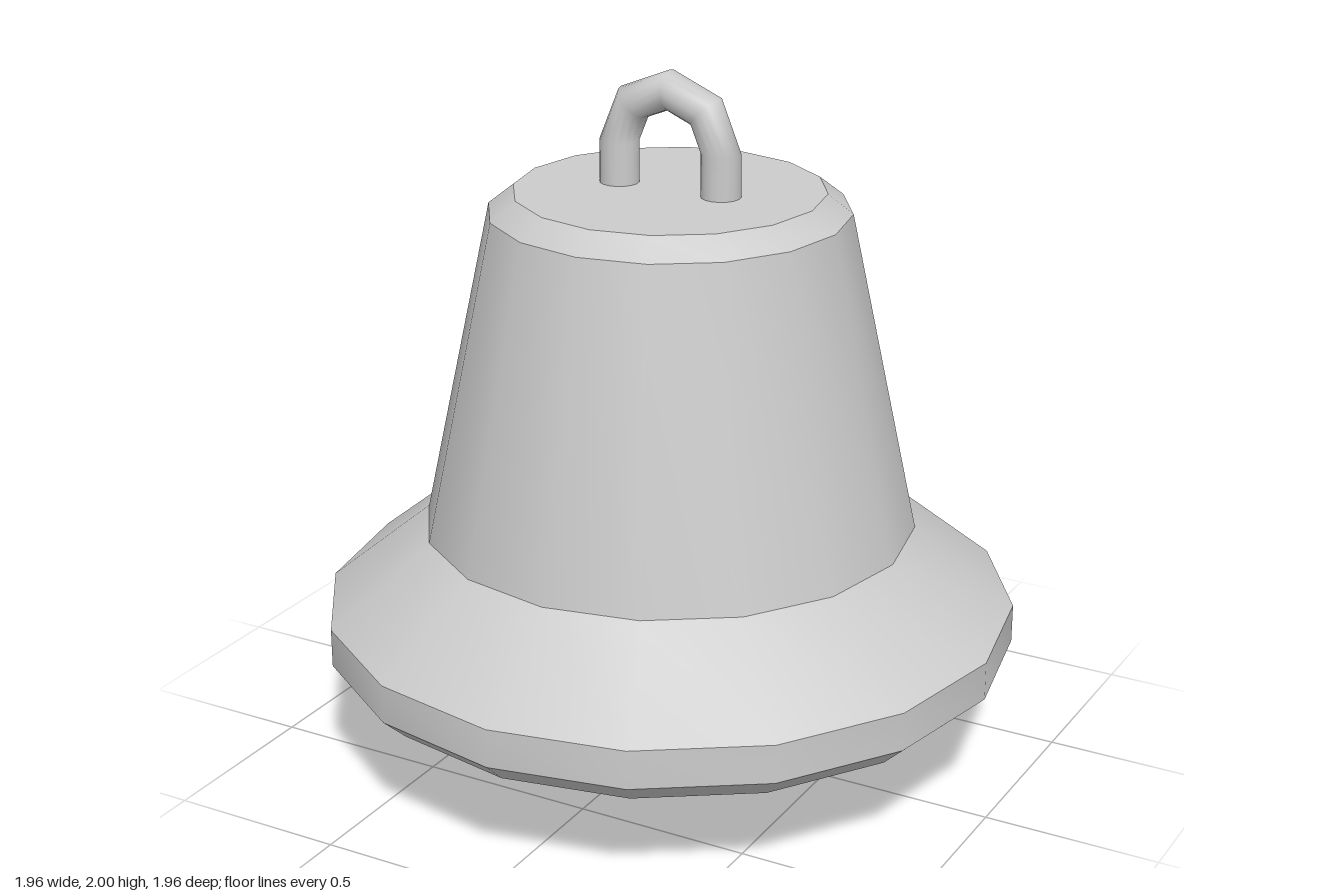
import * as THREE from 'three';
import { toCreasedNormals } from 'three/addons/utils/BufferGeometryUtils.js';

export function createModel() {
  const model = new THREE.Group();
  const material = new THREE.MeshStandardMaterial({ color: 0xcccccc });

  const add = (name, geometry, x, y, parent = model) => {
    const mesh = new THREE.Mesh(geometry, material);
    mesh.name = name;
    mesh.position.set(x, y, 0);
    parent.add(mesh);
    return mesh;
  };

  // Bell: one closed profile, from the inner ceiling round the lip to the crown
  const profile = [
    [0, 0.85], [0.6, 0.85], [0.845, 0.3],
    [0.91, 0.3], [0.98, 0.365], [0.98, 0.475],
    [0.695, 0.705], [0.5, 1.615], [0.43, 1.67], [0, 1.67],
  ].map(([r, y]) => new THREE.Vector2(r, y));
  const bell = new THREE.LatheGeometry(profile, 16);
  add('bellBody', toCreasedNormals(bell, THREE.MathUtils.degToRad(30)), 0, 0);

  // Clapper: rod hanging from the ceiling with a ball at its end
  const clapper = new THREE.Group();
  clapper.name = 'clapper';
  model.add(clapper);
  add('clapperRod', new THREE.CylinderGeometry(0.14, 0.14, 0.62, 24, 1, true), 0, 0.56, clapper);
  add('clapperBall', new THREE.SphereGeometry(0.25, 32, 20), 0, 0.255, clapper);

  // Hanging loop: four-segment arch on two straight legs
  const loop = new THREE.Group();
  loop.name = 'hangingLoop';
  model.add(loop);
  const spread = 0.157, thick = 0.055, springY = 1.788;
  add('loopArch', new THREE.TorusGeometry(spread, thick, 16, 4, Math.PI), 0, springY, loop);
  for (const side of [-1, 1]) {
    const leg = new THREE.CylinderGeometry(thick, thick, 0.14, 16, 1, true);
    add(side > 0 ? 'leftLoopLeg' : 'rightLoopLeg', leg, side * spread, springY - 0.07, loop);
  }

  return model;
}
